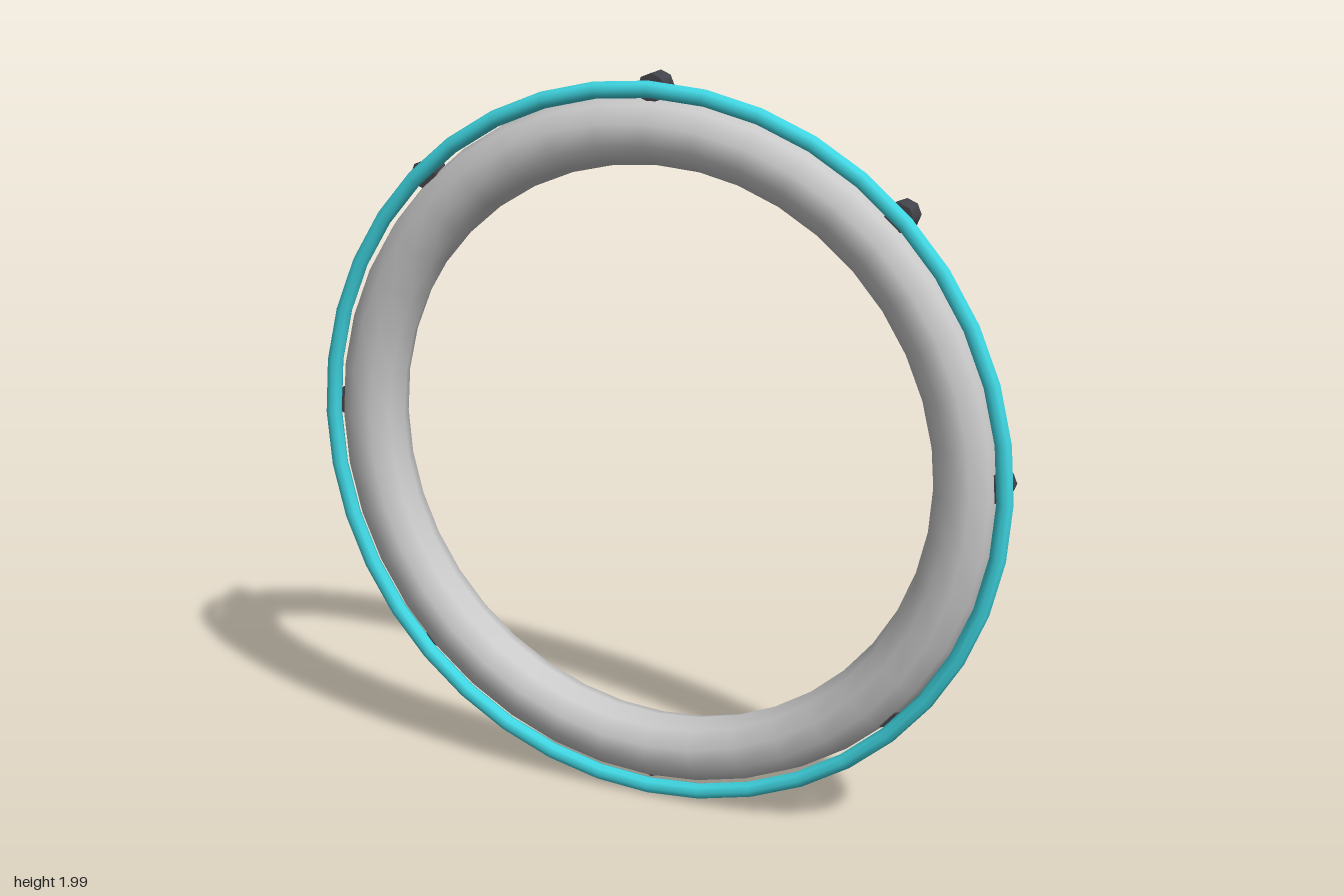
import * as THREE from 'three';

const material = (color) => new THREE.MeshStandardMaterial({ color });

export function createModel() {
  const model = new THREE.Group();
  model.name = 'ring';

  const add = (name, geometry, mat, x, y, z) => {
    const mesh = new THREE.Mesh(geometry, mat);
    mesh.name = name;
    mesh.position.set(x, y, z);
    model.add(mesh);
    return mesh;
  };

  // Thick main ring and the thin coloured band around its front rim
  add('mainRing', new THREE.TorusGeometry(0.855, 0.09, 10, 40), material(0xcccccc), 0, 0.996, 0);
  add('rimBand', new THREE.TorusGeometry(0.964, 0.022, 8, 40), material(0x40d8e4), 0, 0.997, 0.046);

  // Eight small dark studs, sunk into the outer face; their circle sits slightly high
  const studGeometry = new THREE.CylinderGeometry(0.038, 0.038, 0.064, 8).rotateX(Math.PI / 2);
  const dark = material(0x44444c);
  for (let i = 0; i < 8; i++) {
    const a = (i * Math.PI) / 4;
    add(`stud${i + 1}`, studGeometry, dark, 0.935 * Math.cos(a), 1.027 + 0.935 * Math.sin(a), 0.002);
  }
  return model;
}
